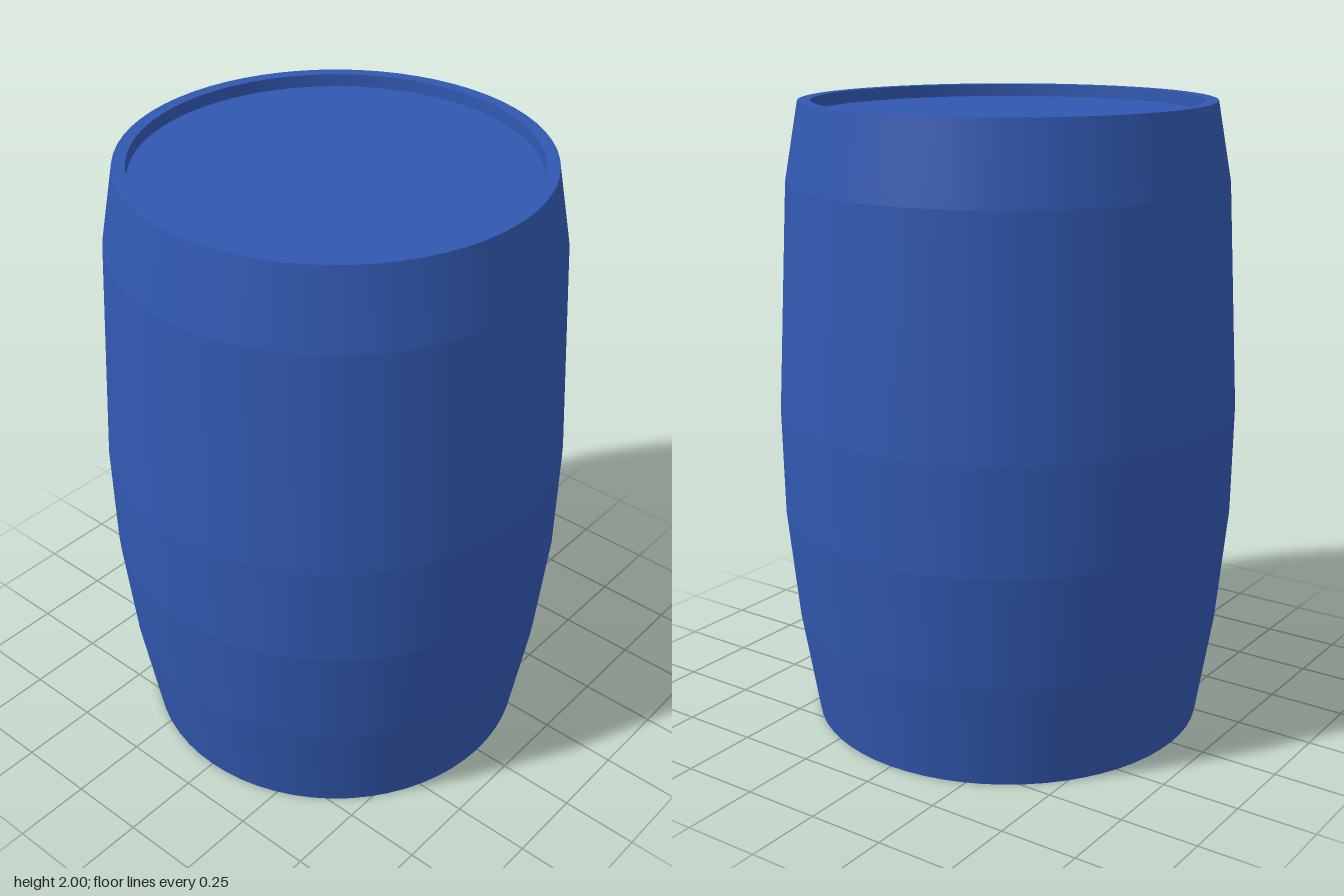
import * as THREE from 'three';

export function createModel() {
  const group = new THREE.Group();
  group.name = 'barrel';
  const blue = new THREE.MeshStandardMaterial({ color: 0x3158b0 });
  blue.name = 'barrel blue';
  const SIDES = 64;

  // Closed profile of [radius, height], from the base centre up to the sunken lid
  const profile = [
    [0, 0], [0.635, 0], [0.69, 0.34], [0.725, 0.7], [0.73, 1.04],
    [0.69, 1.755], [0.645, 2], [0.605, 2], [0.605, 1.96], [0, 1.96],
  ];
  const names = [
    'base', 'lowerBand', 'lowerBellyBand', 'bellyBand', 'upperBand',
    'topBand', 'rim', 'rimInnerWall', 'lid',
  ];

  // One lathe per band: round in section, with a crisp edge between bands
  names.forEach((name, i) => {
    const points = [profile[i], profile[i + 1]].map(([r, y]) => new THREE.Vector2(r, y));
    const band = new THREE.Mesh(new THREE.LatheGeometry(points, SIDES), blue);
    band.name = name;
    group.add(band);
  });
  return group;
}
